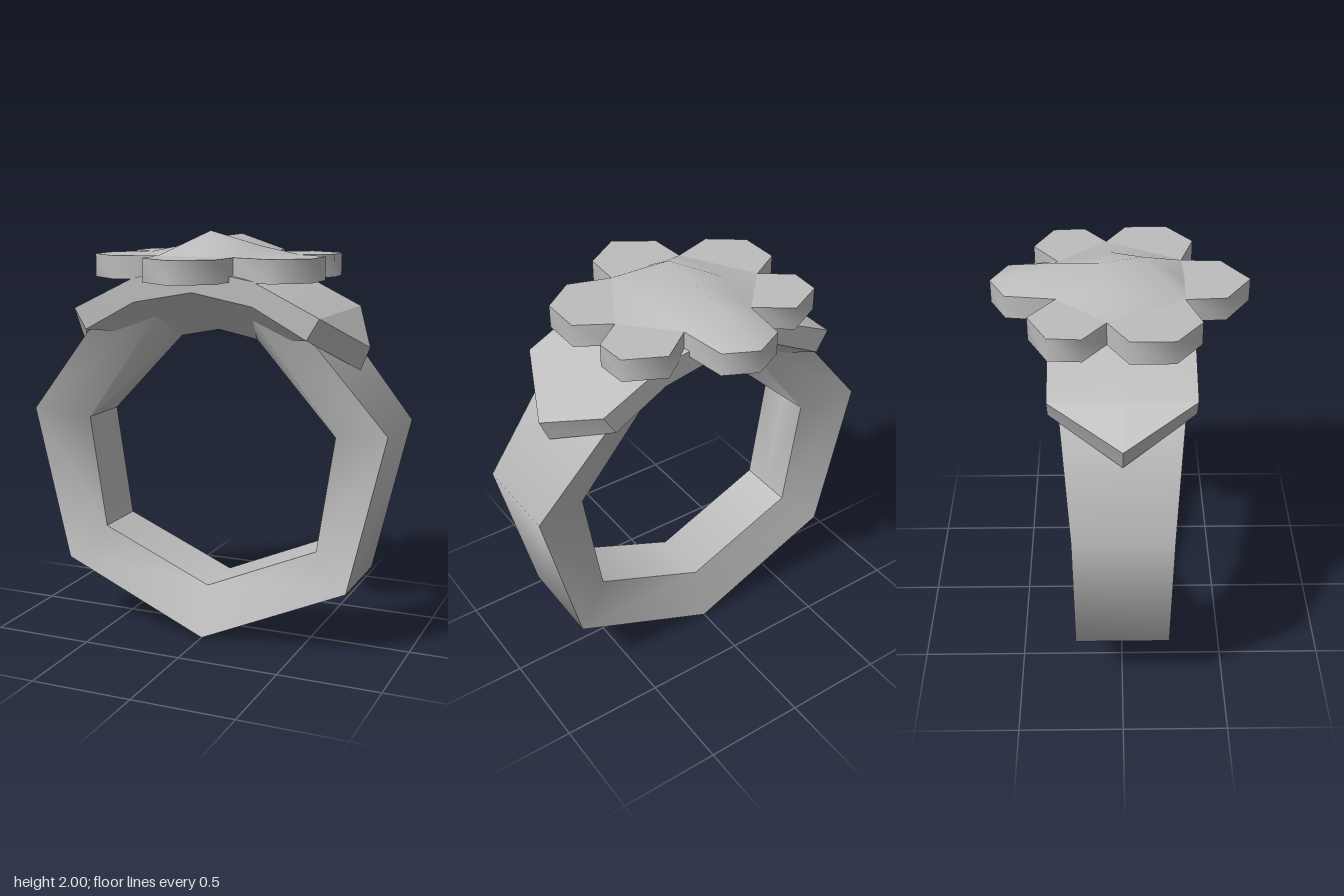
import * as THREE from 'three';
import { toCreasedNormals } from 'three/addons/utils/BufferGeometryUtils.js';

const metal = new THREE.MeshStandardMaterial({ color: 0xbcbcbc });
metal.name = 'grey metal';

function part(name, geometry, crease) {
  const mesh = new THREE.Mesh(toCreasedNormals(geometry, crease), metal);
  mesh.name = name;
  return mesh;
}

function fromTriangles(points, index) {
  const g = new THREE.BufferGeometry();
  g.setAttribute('position', new THREE.Float32BufferAttribute(points.flat(), 3));
  g.setIndex(index);
  return g;
}

// Joins a row of closed cross-sections; each quad is split from its corner
// nearest the upright axis, so both halves fold alike
function loft(sections) {
  const n = sections[0].length;
  const points = sections.flat();
  const reach = k => Math.hypot(points[k][0], points[k][2]);
  const index = [];
  for (let i = 0; i < sections.length - 1; i++) {
    for (let j = 0; j < n; j++) {
      const a = i * n + j, b = i * n + (j + 1) % n;
      const quad = [a, a + n, b + n, b];
      const start = quad.indexOf(quad.reduce((p, q) => (reach(q) < reach(p) ? q : p)));
      const [p, q, r, s] = [0, 1, 2, 3].map(k => quad[(start + k) % 4]);
      index.push(p, q, r, p, r, s);
    }
  }
  return fromTriangles(points, index);
}

// Half a row of sections is mirrored in x, the last one lying on the centre
function mirrored(half) {
  const other = half.slice(0, -1).reverse().map(s => s.map(([x, y, z]) => [-x, y, z]));
  return [...half, ...other];
}

// Seven-sided band, narrower inside: outer x, y, half width, inner x, y, half width,
// inner middle x, y. The top ends are sunk into the shoulder plate.
function band() {
  const rows = [
    [0.48, 1.63, 0.29, 0.22, 1.63, 0.19, 0.20, 1.48],
    [0.92, 1.10, 0.225, 0.65, 1.06, 0.145, 0.65, 1.06],
    [0.74, 0.33, 0.225, 0.565, 0.495, 0.145, 0.565, 0.495],
    [0, 0, 0.225, 0, 0.25, 0.145, 0, 0.25],
  ];
  const half = rows.map(([ox, oy, ow, ix, iy, iw, mx, my]) => [
    [ox, oy, ow], [ox, oy, -ow], [ix, iy, -iw], [mx, my, 0], [ix, iy, iw],
  ]);
  return part('band', loft(mirrored(half)), 0.96);
}

// Arched plate with pointed ends: top x, y, bottom x, y, underside middle x, y, half width
function shoulderPlate() {
  const rows = [
    [-0.765, 1.47, -0.72, 1.36, -0.72, 1.36, 0],
    [-0.62, 1.63, -0.56, 1.53, -0.56, 1.50, 0.325],
    [-0.30, 1.785, -0.30, 1.67, -0.20, 1.48, 0.325],
    [0, 1.835, 0, 1.725, 0, 1.52, 0.325],
  ];
  const half = rows.map(([tx, ty, bx, by, mx, my, w]) => [
    [tx, ty, w], [tx, ty, 0], [tx, ty, -w], [bx, by, -w], [mx, my, 0], [bx, by, w],
  ]);
  return part('shoulderPlate', loft(mirrored(half)), 0.35);
}

// Six-petalled plate, outline given as x, z for one half
function flower() {
  const half = [
    [0, -0.595], [0.15, -0.52], [0.18, -0.29], [0.34, -0.41], [0.52, -0.32],
    [0.53, -0.17], [0.39, -0.065], [0.55, 0.03], [0.55, 0.23], [0.39, 0.35],
    [0.19, 0.285], [0.18, 0.47], [0, 0.59],
  ];
  const outline = [...half, ...half.slice(1, -1).reverse().map(([x, z]) => [-x, z])];
  const shape = new THREE.Shape(outline.map(([x, z]) => new THREE.Vector2(x, -z)));
  const g = new THREE.ExtrudeGeometry(shape, { depth: 0.11, bevelEnabled: false });
  g.rotateX(-Math.PI / 2).translate(0, 1.777, 0);
  return part('flowerPetals', g, 1.3);
}

// Low peak on the flower, with a ridge running into the back petal
function flowerPeak() {
  const rim = 1.887;
  const points = [
    [0, 2, 0.1], [0, 1.97, -0.1], [0, 1.972, -0.3], [0, rim, 0.29], [0.2, 1.925, -0.05],
    [0.19, rim, 0.285], [0.39, rim, -0.065], [0.18, rim, -0.29],
    [0.15, rim, -0.52], [0, rim, -0.595],
  ];
  const faces = [
    [0, 3, 5], [0, 5, 4], [4, 5, 6], [0, 4, 1], [1, 4, 7],
    [4, 6, 7], [1, 7, 2], [2, 7, 8], [2, 8, 9],
  ];
  const n = points.length;
  const all = [...points, ...points.map(([x, y, z]) => [x === 0 ? 0 : -x, y, z])];
  const index = faces.flatMap(([a, b, c]) => [a, b, c, a + n, c + n, b + n]);
  return part('flowerPeak', fromTriangles(all, index), 1.0);
}

export function createModel() {
  const group = new THREE.Group();
  group.name = 'flowerRing';
  group.add(band(), shoulderPlate(), flower(), flowerPeak());
  return group;
}
